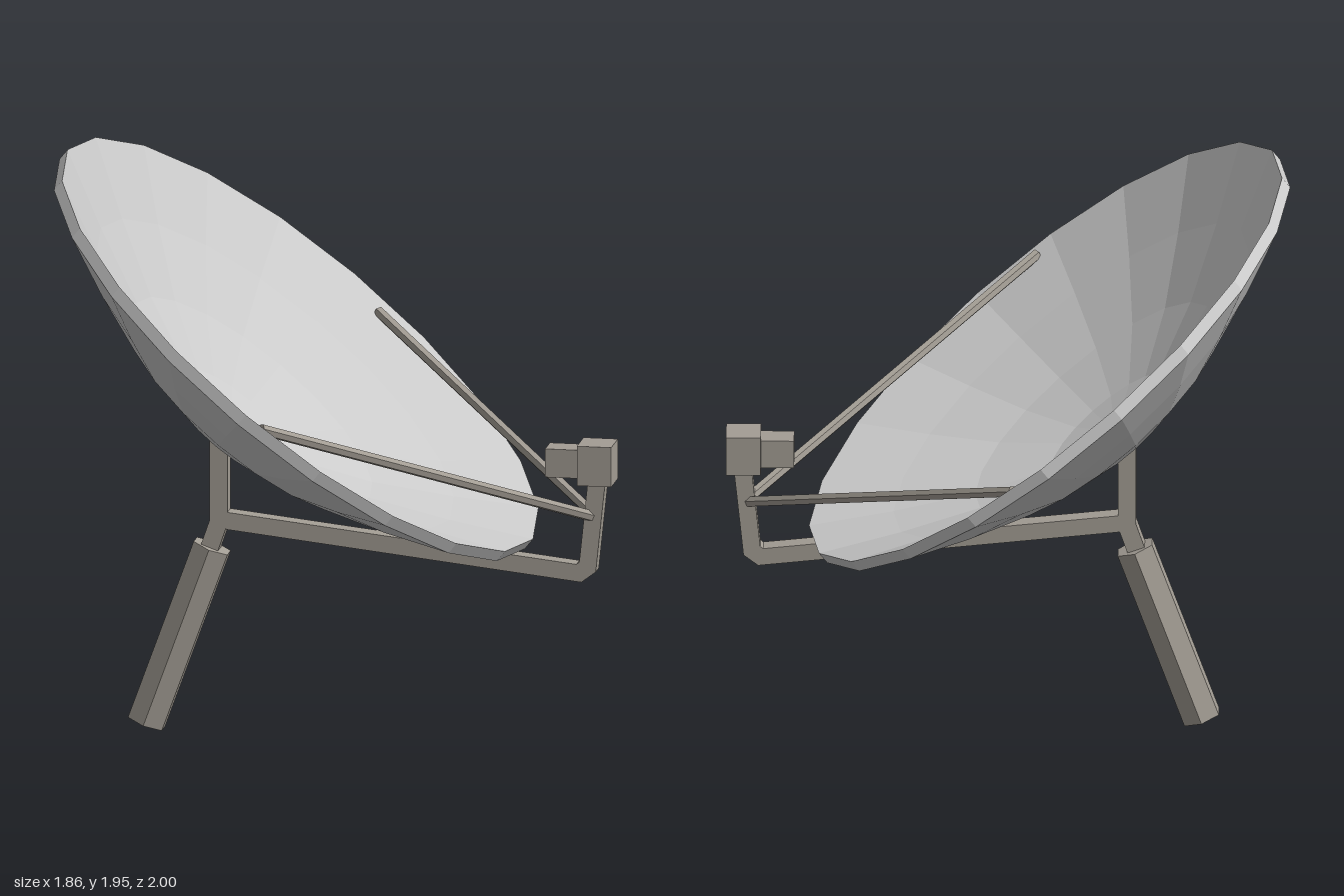
import * as THREE from 'three';

const dishMat = new THREE.MeshStandardMaterial({ color: 0xcccccc, flatShading: true });
const frameMat = new THREE.MeshStandardMaterial({ color: 0xa39d94, flatShading: true });

function add(group, name, geometry, material = frameMat) {
  const mesh = new THREE.Mesh(geometry, material);
  mesh.name = name;
  group.add(mesh);
  return mesh;
}

// Square bar following a bent centre line in the xy plane, with mitred corners
function bar(path, width) {
  const pts = path.map(([x, y]) => new THREE.Vector2(x, y));
  const left = [], right = [];
  pts.forEach((p, i) => {
    const a = pts[Math.max(i - 1, 0)], b = pts[Math.min(i + 1, pts.length - 1)];
    const d1 = (i > 0 ? p.clone().sub(a) : b.clone().sub(p)).normalize();
    const d2 = (i < pts.length - 1 ? b.clone().sub(p) : d1.clone()).normalize();
    const m = new THREE.Vector2(-d1.y - d2.y, d1.x + d2.x).normalize();
    const len = width / 2 / (m.x * -d1.y + m.y * d1.x);
    left.push(p.clone().addScaledVector(m, len));
    right.unshift(p.clone().addScaledVector(m, -len));
  });
  const geo = new THREE.ExtrudeGeometry(new THREE.Shape([...left, ...right]), { depth: width, bevelEnabled: false });
  return geo.translate(0, 0, -width / 2);
}

// Six-sided rod between two points
function rod(group, name, from, to, radius) {
  const a = new THREE.Vector3(...from), b = new THREE.Vector3(...to);
  const dir = b.clone().sub(a);
  const mesh = add(group, name, new THREE.CylinderGeometry(radius, radius, dir.length(), 6));
  mesh.position.copy(a).add(b).multiplyScalar(0.5);
  mesh.quaternion.setFromUnitVectors(new THREE.Vector3(0, 1, 0), dir.normalize());
  return mesh;
}

export function createModel() {
  const group = new THREE.Group();

  // Tilted reflector: back shell, rim wall and front shell
  const shell = [[0, -0.365], [0.25, -0.337], [0.5, -0.252], [0.75, -0.133], [1, 0]];
  const rim = 0.043;
  const profile = [...shell, ...shell.map(([r, y]) => [r, y + rim]).reverse()];
  const dish = add(group, 'dish',
    new THREE.LatheGeometry(profile.map(([r, y]) => new THREE.Vector2(r, y)), 20), dishMat);
  dish.position.set(-0.15, 1.295, 0);
  dish.rotation.z = -0.677;

  // Mast: thick hexagonal leg and the bent neck that carries the dish
  const leg = rod(group, 'mastLeg', [-0.638, 0.026, 0], [-0.418, 0.632, 0], 0.062);
  leg.scale.x = 1.12;
  add(group, 'mastNeck', bar([[-0.44, 0.58], [-0.392, 0.72], [-0.392, 1.02]], 0.06));

  // Feed arm running under the dish and turning up in front of it
  add(group, 'feedArm', bar([[-0.4, 0.73], [0.815, 0.6], [0.844, 0.622], [0.875, 0.92]], 0.058));

  // Receiver head with its horn pointing back at the dish
  add(group, 'receiverHead', new THREE.BoxGeometry(0.115, 0.134, 0.124)).position.set(0.872, 0.972, 0);
  add(group, 'receiverHorn', new THREE.BoxGeometry(0.13, 0.096, 0.088)).position.set(0.77, 0.973, 0);

  // Side struts from the feed arm to the rim
  rod(group, 'leftStrut', [0.86, 0.79, 0.01], [-0.08, 1.272, 0.96], 0.019);
  rod(group, 'rightStrut', [0.86, 0.79, -0.01], [-0.03, 1.22, -0.93], 0.019);

  return group;
}
